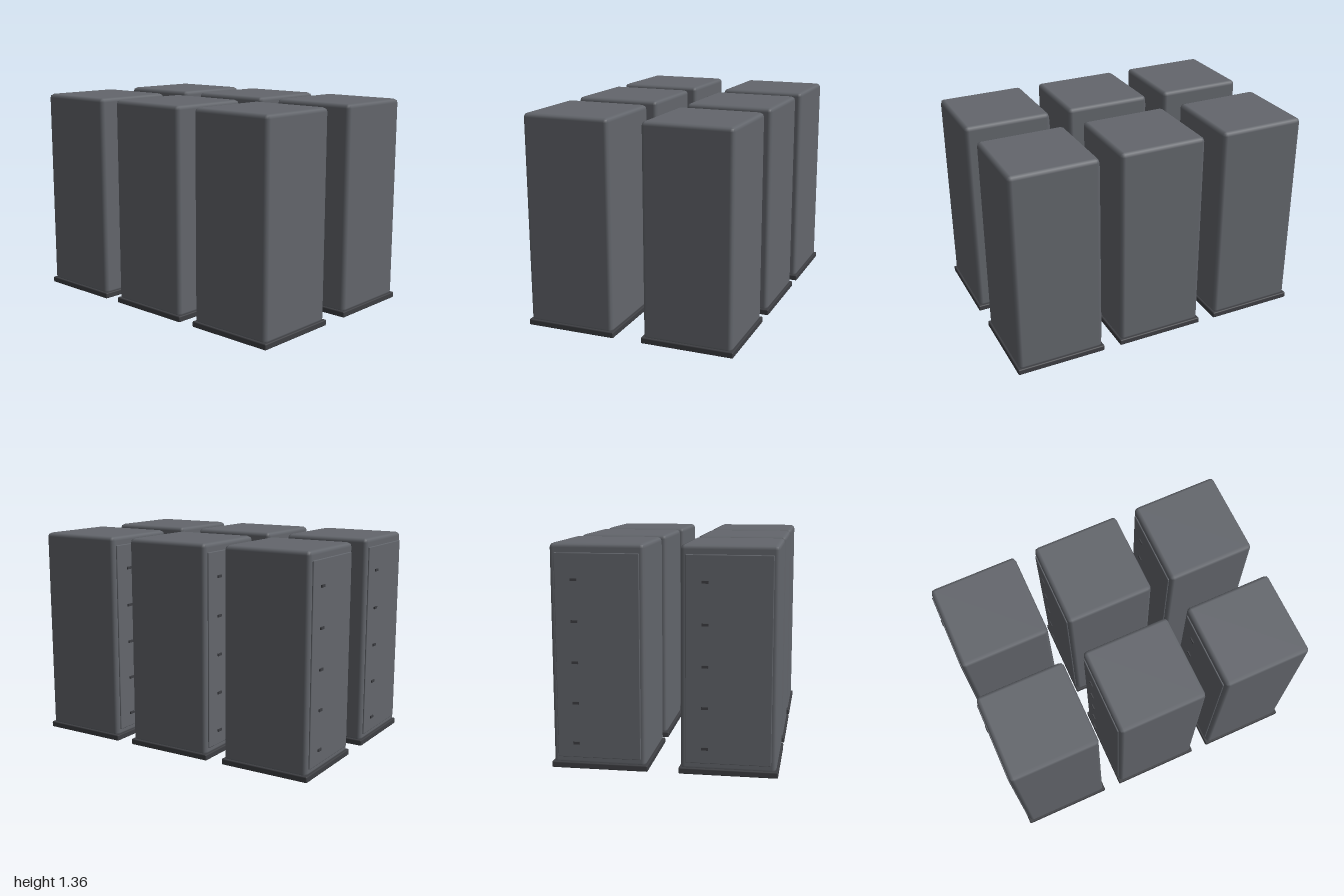
import * as THREE from 'three';
import { RoundedBoxGeometry } from 'three/addons/geometries/RoundedBoxGeometry.js';

const paint = (name, color) => {
  const m = new THREE.MeshStandardMaterial({ color });
  m.name = name;
  return m;
};

// Softly shaded box given by its width, height, depth and centre
function softBox(name, material, [w, h, d], [x, y, z], radius) {
  // one-step rounding falls slightly short of the full size, so grow to suit
  const grow = radius * 0.19;
  const mesh = new THREE.Mesh(
    new RoundedBoxGeometry(w + grow, h + grow, d + grow, 1, radius), material);
  mesh.name = name;
  mesh.position.set(x, y, z);
  return mesh;
}

export function createModel() {
  const steel = paint('grey steel', 0x63666c);
  const dark = paint('dark grey', 0x3e3f43);

  const root = new THREE.Group();
  root.name = 'cabinetRows';

  // One tall cabinet with its door facing the back
  const cabinet = new THREE.Group();
  cabinet.add(
    softBox('plinth', dark, [0.587, 0.037, 0.588], [0, 0.0185, 0], 0.007),
    softBox('body', steel, [0.561, 1.328, 0.564], [0, 0.689, 0], 0.026),
    softBox('door', steel, [0.505, 1.23, 0.03], [0, 0.685, -0.277], 0.005));

  // Five small pulls down one side of the door
  for (let i = 0; i < 5; i++) {
    const y = 0.16 + i * 0.246;
    const pull = new THREE.Mesh(new THREE.BoxGeometry(0.04, 0.016, 0.012), dark);
    pull.name = 'pull';
    pull.position.set(0.137, y, -0.294);
    cabinet.add(pull);
  }

  // Two columns of three
  for (const x of [-0.387, 0.387]) {
    for (let row = -1; row <= 1; row++) {
      const copy = cabinet.clone();
      copy.name = 'cabinet';
      copy.position.set(x, 0, 0.003 + row * 0.703);
      root.add(copy);
    }
  }
  return root;
}
